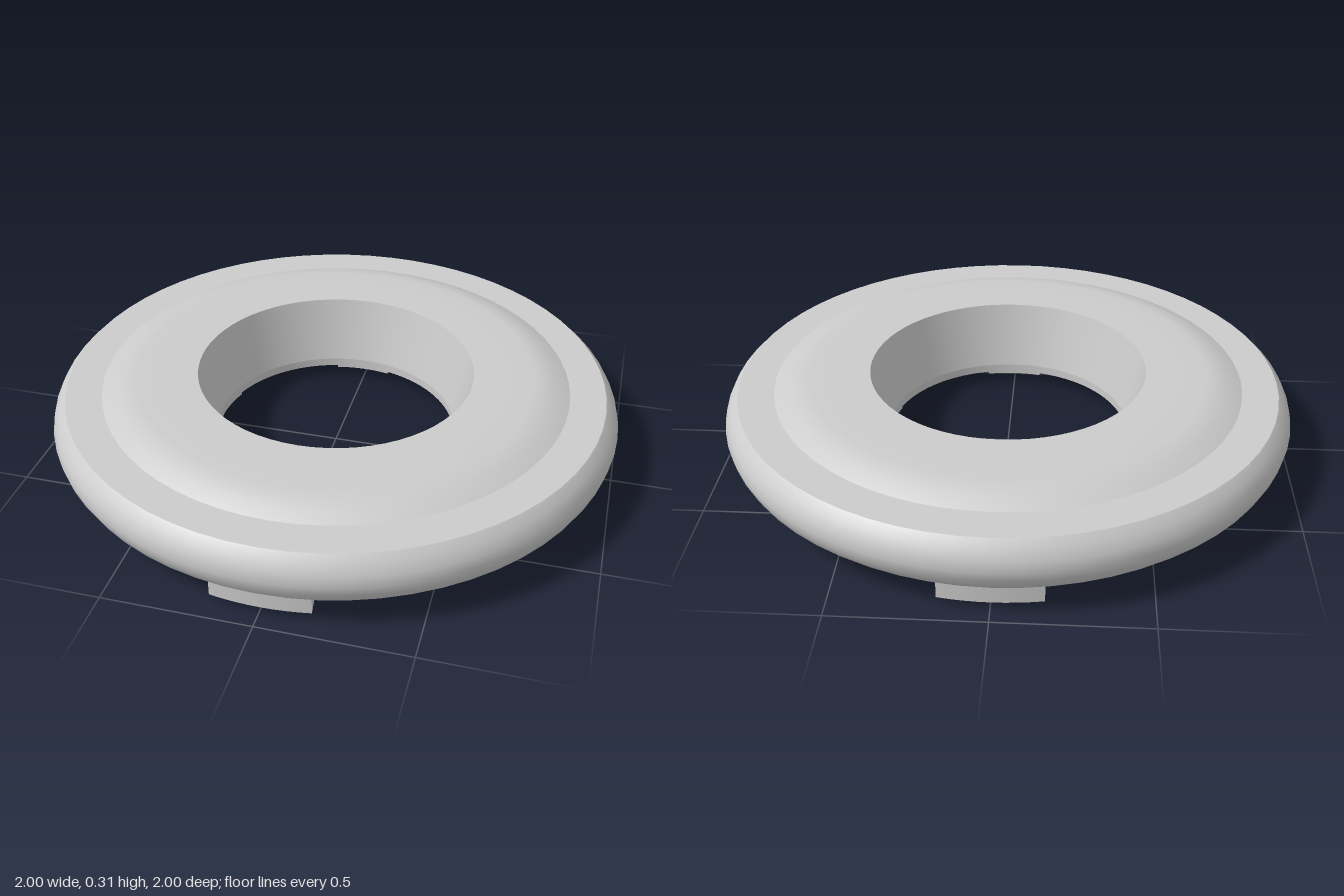
import * as THREE from 'three';
import { toCreasedNormals } from 'three/addons/utils/BufferGeometryUtils.js';

const SEG = 64;
const material = new THREE.MeshStandardMaterial({ color: 0xcccccc });

function addMesh(parent, name, geometry) {
  const mesh = new THREE.Mesh(geometry, material);
  mesh.name = name;
  parent.add(mesh);
  return mesh;
}

// One smooth band of the turned body; separate bands keep sharp edges between them
function band(points) {
  return new THREE.LatheGeometry(points.map(([r, y]) => new THREE.Vector2(r, y)), SEG);
}

// Sector-shaped outline between two radii
function sector(path, r0, r1, mid, half) {
  path.absarc(0, 0, r1, mid - half, mid + half, false);
  path.absarc(0, 0, r0, mid + half, mid - half, true);
  path.closePath();
  return path;
}

// Flat underside plate with four sector pockets
function undersidePlate() {
  const shape = new THREE.Shape().absarc(0, 0, 0.7, 0, Math.PI * 2, false);
  shape.holes.push(new THREE.Path().absarc(0, 0, 0.43, 0, Math.PI * 2, true));
  for (let i = 0; i < 4; i++) {
    shape.holes.push(sector(new THREE.Path(), 0.48, 0.68, Math.PI * (0.25 + i / 2), 0.42));
  }
  const g = new THREE.ExtrudeGeometry(shape, { depth: 0.03, bevelEnabled: false, curveSegments: SEG / 2 });
  g.rotateX(Math.PI / 2).translate(0, 0.08, 0);
  return toCreasedNormals(g, 0.5);
}

// Foot: stations run outward along the radius as [r, bottom y, top y]
const STATIONS = [[0.432, 0.04, 0.06], [0.7, 0, 0.07], [0.82, 0.035, 0.1], [0.94, 0.025, 0.1]];
function footGeometry(innerHalf, outerHalf) {
  const g = new THREE.BoxGeometry(1, 1, 1, STATIONS.length - 1, 1, 8);
  const p = g.attributes.position;
  for (let i = 0; i < p.count; i++) {
    const [r, bottom, top] = STATIONS[Math.round((p.getX(i) + 0.5) * (STATIONS.length - 1))];
    const half = THREE.MathUtils.mapLinear(r, 0.43, 0.94, innerHalf, outerHalf);
    const angle = p.getZ(i) * 2 * Math.asin(half / r);
    p.setXYZ(i, r * Math.cos(angle), p.getY(i) > 0 ? top : bottom, r * Math.sin(angle));
  }
  return toCreasedNormals(g, 0.15);
}

export function createModel() {
  const model = new THREE.Group();
  model.name = 'ringBase';

  // Turned body
  const body = new THREE.Group();
  body.name = 'body';
  model.add(body);
  const bands = {
    lowerShoulder: [[0.69, 0.05], [0.73, 0.054], [0.78, 0.068], [0.82, 0.09]],
    rimUnderside: [[0.82, 0.09], [0.95, 0.09]],
    roundedRim: [[0.95, 0.09], [0.975, 0.115], [0.992, 0.148], [1, 0.183], [0.992, 0.217], [0.975, 0.25], [0.95, 0.275]],
    rimTop: [[0.95, 0.275], [0.825, 0.275]],
    domedTop: [[0.825, 0.275], [0.78, 0.297], [0.74, 0.309], [0.7, 0.315], [0.6, 0.315], [0.488, 0.315]],
    holeWall: [[0.488, 0.315], [0.43, 0.08]],
  };
  for (const [name, points] of Object.entries(bands)) addMesh(body, name, band(points));

  // Underside with recessed pockets
  addMesh(body, 'undersidePlate', undersidePlate());
  addMesh(body, 'pocketFloor', new THREE.RingGeometry(0.44, 0.7, SEG).rotateX(Math.PI / 2).translate(0, 0.08, 0));

  // Four feet: wide pair on x, narrow pair on z
  const wide = footGeometry(0.137, 0.215);
  const narrow = footGeometry(0.1, 0.165);
  for (let i = 0; i < 4; i++) {
    const foot = addMesh(model, i % 2 ? 'narrowFoot' : 'wideFoot', i % 2 ? narrow : wide);
    foot.rotation.y = i * Math.PI / 2;
  }
  return model;
}
